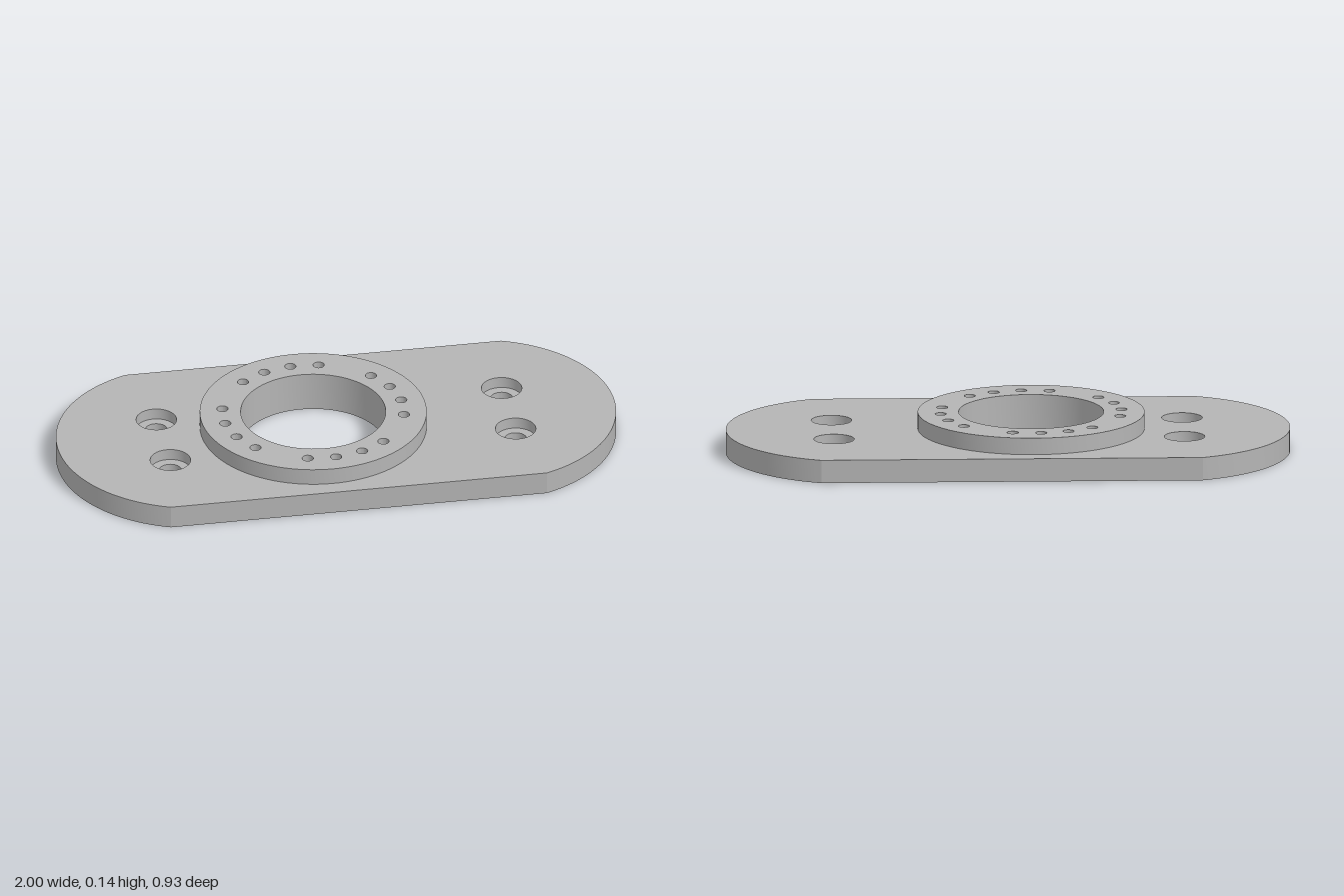
import * as THREE from 'three';
import { toCreasedNormals } from 'three/addons/utils/BufferGeometryUtils.js';

const PLATE_TOP = 0.083, SEAT = 0.042, RING_TOP = 0.143;
const RING_X = -0.082, RING_R = 0.402, BORE_R = 0.257;

// Points of an arc in (x, z)
function arc(cx, cz, r, from, to, n) {
  return Array.from({ length: n + 1 }, (_, i) => {
    const a = from + (to - from) * i / n;
    return new THREE.Vector2(cx + r * Math.cos(a), cz + r * Math.sin(a));
  });
}
const circle = (cx, cz, r, n = 32) => arc(cx, cz, r, 0, Math.PI * 2, n).slice(0, -1);

// Flat face with holes at height y, facing up or down
function cap(outline, holes, y, up) {
  const shape = new THREE.Shape(outline);
  shape.holes = holes.map(h => new THREE.Path(h));
  const geo = new THREE.ShapeGeometry(shape).rotateX(Math.PI / 2).translate(0, y, 0);
  if (up) {
    geo.index.array.reverse();
    geo.attributes.normal.array.forEach((v, i, all) => { all[i] = -v; });
  }
  return geo;
}

// Upright wall along a closed outline, facing outward, or inward for a hole
function wall(outline, y0, y1, inward = false) {
  const pts = inward ? [...outline].reverse() : outline;
  const pos = [];
  pts.forEach((a, i) => {
    const b = pts[(i + 1) % pts.length];
    pos.push(a.x, y0, a.y, a.x, y1, a.y, b.x, y1, b.y);
    pos.push(a.x, y0, a.y, b.x, y1, b.y, b.x, y0, b.y);
  });
  const geo = new THREE.BufferGeometry();
  geo.setAttribute('position', new THREE.Float32BufferAttribute(pos, 3));
  return toCreasedNormals(geo, 0.25);
}

export function createModel() {
  const metal = new THREE.MeshStandardMaterial({ color: 0xb4b4b4 });
  metal.name = 'greyMetal';
  const model = new THREE.Group();
  model.name = 'mountingPlate';
  const part = (name, ...geos) => {
    const g = new THREE.Group();
    g.name = name;
    geos.forEach(geo => {
      const m = new THREE.Mesh(geo, metal);
      m.name = name + 'Surface';
      g.add(m);
    });
    model.add(g);
  };

  // Plate outline: straight long sides, shallow round ends
  const endR = 0.493, half = Math.asin(0.463 / endR), cx = 1 - endR;
  const outline = [
    ...arc(cx, 0, endR, -half, half, 48),
    ...arc(-cx, 0, endR, Math.PI - half, Math.PI + half, 48),
  ];
  const ringOuter = circle(RING_X, 0, RING_R, 96);
  const bore = circle(RING_X, 0, BORE_R, 96);

  // Four corner screws and four groups of four ring screws
  const corners = [];
  for (const x of [-0.621, 0.621]) for (const z of [-0.142, 0.142]) corners.push([x, z]);
  const ringSpots = [];
  for (let g = 0; g < 4; g++) {
    for (let i = 0; i < 4; i++) {
      const a = THREE.MathUtils.degToRad(g * 90 - 40.5 + i * 18);
      ringSpots.push([RING_X + 0.322 * Math.sin(a), -0.322 * Math.cos(a)]);
    }
  }
  const holes = (spots, r) => spots.map(([x, z]) => circle(x, z, r));
  const through = holes(corners, 0.039), sunk = holes(corners, 0.072);
  const headHoles = holes(ringSpots, 0.036), pinHoles = holes(ringSpots, 0.02);

  part('basePlate',
    wall(outline, 0, PLATE_TOP),
    cap(outline, [ringOuter, ...sunk], PLATE_TOP, true),
    cap(outline, [bore, ...through, ...headHoles], 0, false));
  part('raisedRing',
    wall(ringOuter, PLATE_TOP, RING_TOP),
    cap(ringOuter, [bore, ...pinHoles], RING_TOP, true));
  part('centreBore', wall(bore, 0, RING_TOP, true));

  // Counterbored corner holes, open upward
  corners.forEach((_, i) => part('cornerHole',
    wall(through[i], 0, SEAT, true),
    cap(sunk[i], [through[i]], SEAT, true),
    wall(sunk[i], SEAT, PLATE_TOP, true)));

  // Ring holes, wider from below
  ringSpots.forEach((_, i) => part('ringHole',
    wall(headHoles[i], 0, PLATE_TOP, true),
    cap(headHoles[i], [pinHoles[i]], PLATE_TOP, false),
    wall(pinHoles[i], PLATE_TOP, RING_TOP, true)));

  return model;
}
